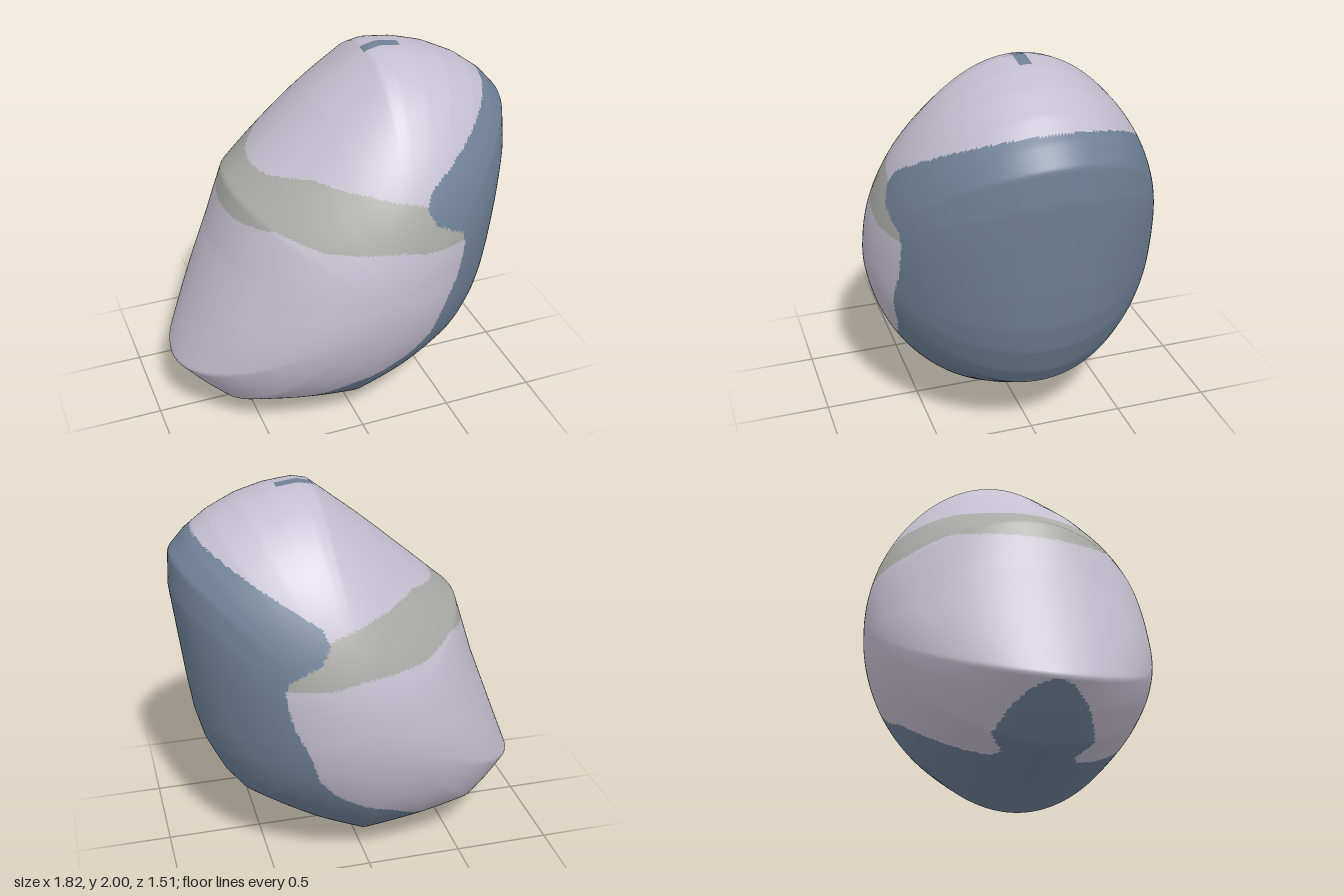
import * as THREE from 'three';

const toVectors = (pts) => pts.map(([x, y]) => new THREE.Vector2(x, y));

// Rim of the stone, clockwise in the x-y plane
const RIM = [[.18, 1.985], [.25, 2], [.4, 1.98], [.55, 1.935], [.7, 1.86], [.82, 1.77], [.9, 1.68],
  [.91, 1.5], [.88, 1.25], [.85, 1], [.82, .8], [.78, .65], [.7, .48], [.62, .37], [.45, .26],
  [.25, .14], [-.02, 0], [-.3, .06], [-.68, .125], [-.8, .25], [-.91, .38], [-.8, .66],
  [-.66, 1.03], [-.56, 1.36], [-.4, 1.5], [-.1, 1.76], [.18, 1.985]];

// Dark region covering the left flank and the underside
const DARK = [[.79, 1.8], [.62, 1.7], [.4, 1.565], [.28, 1.49], [.245, 1.41], [.29, 1.33], [.44, 1.24],
  [.465, 1.18], [.43, 1], [.35, .83], [.3, .66], [.21, .55], [.05, .44], [-.1, .38], [-.26, .27],
  [-.4, .17], [-.47, .13], [-.54, .13], [-.65, .19], [-.92, .38], [-1.2, .2], [-1, -.2],
  [1.1, -.2], [1.1, 1.8]];

// Grey band running round the upper half
const BAND = [[-.8, 1.2], [-.59, 1.25], [-.44, 1.29], [-.25, 1.24], [-.02, 1.235], [.11, 1.23],
  [.24, 1.2], [.5, 1.195], [.5, 1.35], [.245, 1.43], [0, 1.49], [-.24, 1.52], [-.42, 1.47], [-.8, 1.47]];

function inside(poly, x, y) {
  let hit = false;
  for (let i = 0, j = poly.length - 1; i < poly.length; j = i++) {
    const [xi, yi] = poly[i], [xj, yj] = poly[j];
    if ((yi > y) !== (yj > y) && x < (xj - xi) * (y - yi) / (yj - yi) + xi) hit = !hit;
  }
  return hit;
}

function pickColour(x, y, z) {
  if (inside(DARK, x, y)) return 'dark';
  if (y > 1.95 && x > .17 && x < .36 && Math.abs(z) < .035) return 'dark'; // seam strip on the crown
  return inside(BAND, x, y) ? 'band' : 'pale';
}

export function createModel() {
  const N = 360, M = 150, HALF_DEPTH = .755, CX = .06, CY = .96;
  const rim = new THREE.Shape(toVectors(RIM)).getSpacedPoints(N).slice(0, N);

  // Softened copy of the rim, used towards the front and back
  const span = Math.round(N / 14);
  const soft = rim.map((_, i) => {
    const p = new THREE.Vector2();
    for (let k = -span; k <= span; k++) p.add(rim[(i + k + N) % N]);
    return p.divideScalar(2 * span + 1);
  });

  // Rings from the front pole, over the rim, to the back pole
  const pos = [];
  for (let j = 0; j <= M; j++) {
    const phi = Math.PI * j / M, s = j === M ? 0 : Math.sin(phi);
    for (let i = 0; i < N; i++) {
      const p = soft[i].clone().lerp(rim[i], s ** 3);
      pos.push(CX + (p.x - CX) * s, CY + (p.y - CY) * s, HALF_DEPTH * Math.cos(phi));
    }
  }

  // Triangles sorted by colour
  const faces = { pale: [], dark: [], band: [] };
  const all = [];
  const addFace = (...abc) => {
    const mid = (axis) => abc.reduce((sum, v) => sum + pos[v * 3 + axis], 0) / 3;
    faces[pickColour(mid(0), mid(1), mid(2))].push(...abc);
    all.push(...abc);
  };
  for (let j = 0; j < M; j++) {
    for (let i = 0; i < N; i++) {
      const n = (i + 1) % N;
      const a = j * N + i, b = j * N + n, c = a + N, d = b + N;
      if (j > 0) addFace(a, b, c);
      if (j < M - 1) addFace(b, d, c);
    }
  }

  // Smooth normals shared across the whole surface
  const surface = new THREE.BufferGeometry();
  surface.setAttribute('position', new THREE.Float32BufferAttribute(pos, 3));
  surface.setIndex(all);
  surface.computeVertexNormals();

  const group = new THREE.Group();
  group.name = 'stone';
  const addPart = (key, name, colourName, color) => {
    const material = new THREE.MeshStandardMaterial({ color });
    material.name = colourName;
    const geometry = new THREE.BufferGeometry();
    geometry.setAttribute('position', surface.getAttribute('position'));
    geometry.setAttribute('normal', surface.getAttribute('normal'));
    geometry.setIndex(faces[key]);
    const mesh = new THREE.Mesh(geometry, material);
    mesh.name = name;
    group.add(mesh);
  };
  addPart('pale', 'paleBody', 'pale lavender', 0xc3bece);
  addPart('dark', 'darkFlank', 'slate blue', 0x6f8197);
  addPart('band', 'greyBand', 'warm grey', 0xa9a9a5);
  return group;
}
